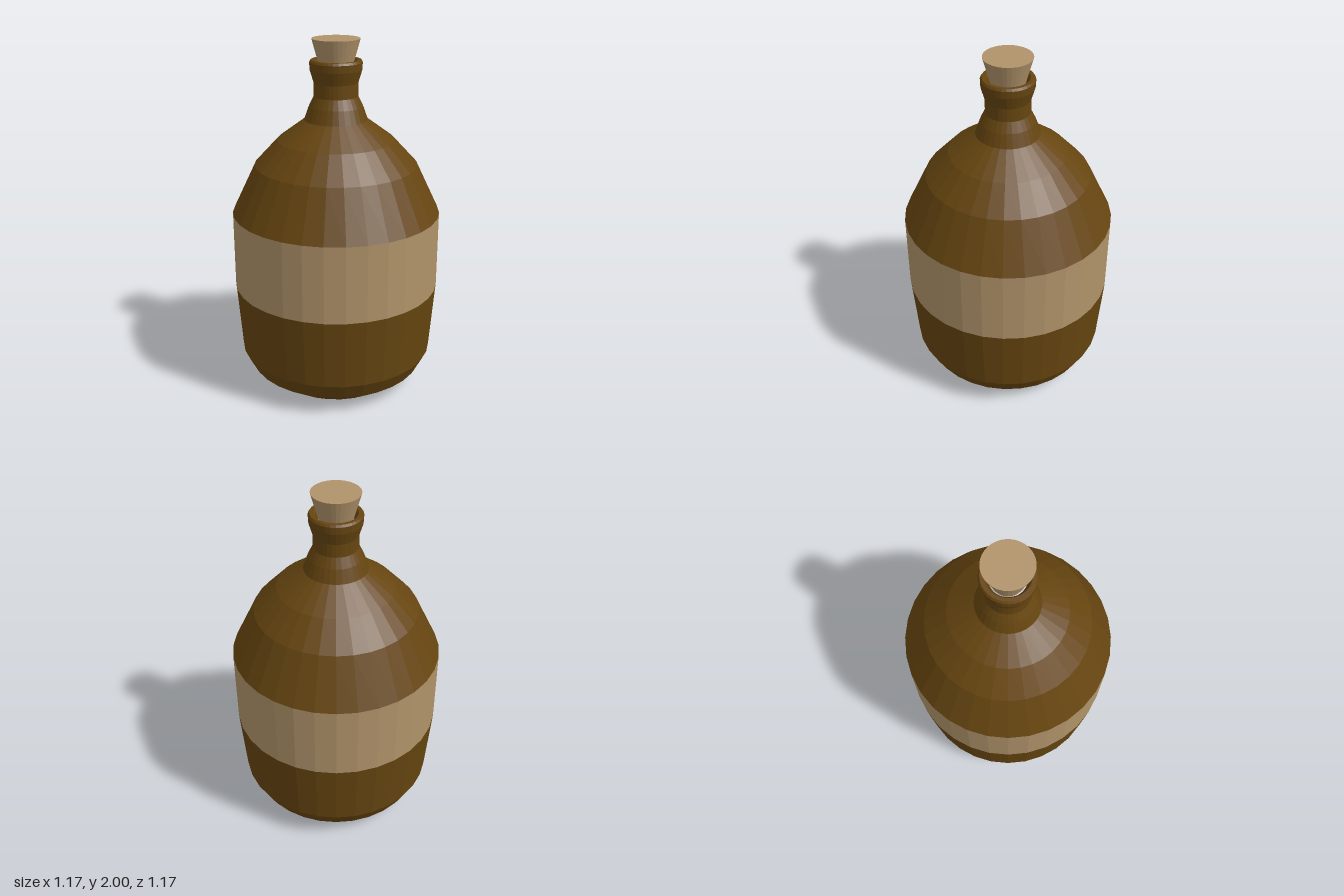
import * as THREE from 'three';

const SIDES = 32;

// Faceted solid of revolution from [radius, height] pairs, listed bottom to top
function turned(name, profile, material) {
  const points = profile.map(([r, y]) => new THREE.Vector2(r, y));
  const geometry = new THREE.LatheGeometry(points, SIDES).toNonIndexed();
  geometry.computeVertexNormals();
  const mesh = new THREE.Mesh(geometry, material);
  mesh.name = name;
  return mesh;
}

export function createModel() {
  const glass = new THREE.MeshStandardMaterial({ color: 0x664510 });
  glass.name = 'brown glass';
  const tan = new THREE.MeshStandardMaterial({ color: 0xb0936a });
  tan.name = 'tan cork and paper';

  const group = new THREE.Group();
  group.name = 'corkedBottle';

  // Closed base and lower wall
  group.add(turned('lowerBody', [
    [0, 0], [0.365, 0], [0.505, 0.1], [0.557, 0.2], [0.587, 0.6],
  ], glass));

  // Label band around the widest part
  group.add(turned('label', [[0.587, 0.6], [0.587, 1.035]], tan));

  // Rounded shoulder
  group.add(turned('shoulder', [
    [0.587, 1.035], [0.455, 1.31], [0.325, 1.45], [0.176, 1.56],
  ], glass));

  // Flared neck, rolled lip and the inside of the mouth
  group.add(turned('neck', [
    [0.176, 1.56], [0.149, 1.635], [0.122, 1.69], [0.122, 1.765],
    [0.143, 1.835], [0.145, 1.875], [0.137, 1.887], [0.118, 1.887],
    [0.108, 1.875], [0.095, 1.84],
  ], glass));

  // Tapered stopper
  group.add(turned('cork', [
    [0, 1.82], [0.082, 1.82], [0.132, 2], [0, 2],
  ], tan));

  return group;
}
